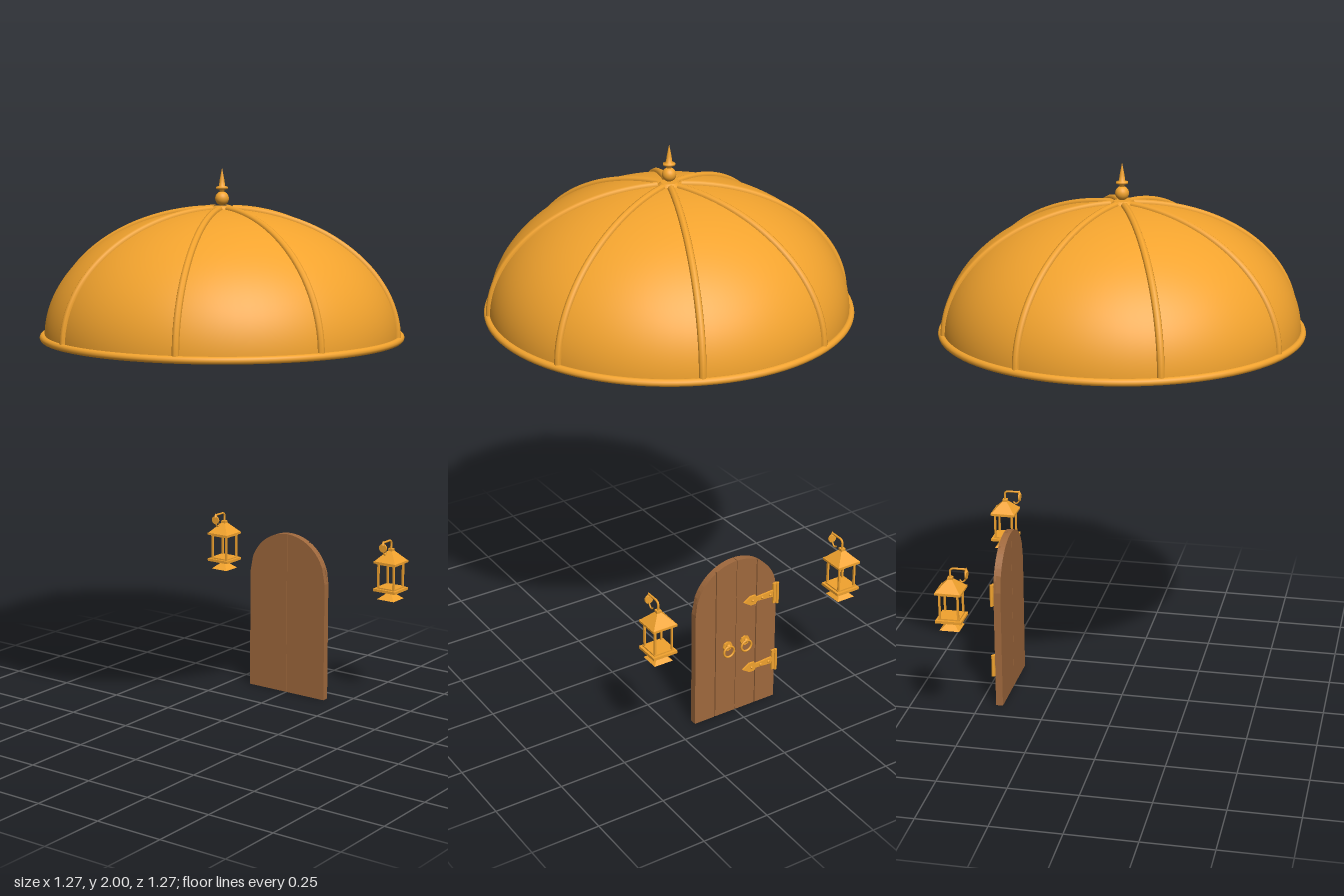
import * as THREE from 'three';

const gold = new THREE.MeshStandardMaterial({ color: 0xf2a32e });
const goldFlat = new THREE.MeshStandardMaterial({ color: 0xf2a32e, flatShading: true });
const wood = new THREE.MeshStandardMaterial({ color: 0xa0693d });

function add(parent, name, geometry, material, x = 0, y = 0, z = 0) {
  const mesh = new THREE.Mesh(geometry, material);
  mesh.name = name;
  mesh.position.set(x, y, z);
  parent.add(mesh);
  return mesh;
}

function group(parent, name) {
  const g = new THREE.Group();
  g.name = name;
  parent.add(g);
  return g;
}

const v2 = (points) => points.map(([x, y]) => new THREE.Vector2(x, y));
const tube = (points, radius, segments = 24) =>
  new THREE.TubeGeometry(new THREE.CatmullRomCurve3(points), segments, radius, 8);

// Ribbed dome with a closed underside, rolled rim and finial
function buildDome(parent) {
  const dome = group(parent, 'dome');
  const R = 0.62, H = 0.44, baseY = 1.42;

  const profile = [];
  for (let i = 0; i <= 40; i++) {
    const t = (i / 40) * Math.PI / 2;
    profile.push(new THREE.Vector2(Math.max(0, R * Math.cos(t)), baseY + H * Math.sin(t)));
  }
  add(dome, 'domeShell', new THREE.LatheGeometry(profile, 80), gold);
  add(dome, 'domeUnderside', new THREE.CircleGeometry(0.628, 80), gold, 0, 1.411, 0).rotation.x = Math.PI / 2;

  const rim = add(dome, 'domeRim', new THREE.TorusGeometry(0.625, 0.0125, 12, 96), gold, 0, baseY - 0.002, 0);
  rim.rotation.x = Math.PI / 2;

  const end = Math.acos(0.04 / R);
  const ribPoints = [];
  for (let i = 0; i <= 16; i++) {
    const t = (i / 16) * end;
    ribPoints.push(new THREE.Vector3(R * Math.cos(t), baseY + H * Math.sin(t), 0));
  }
  const ribGeometry = tube(ribPoints, 0.0125, 40);
  for (let i = 0; i < 8; i++) {
    add(dome, 'rib', ribGeometry, gold).rotation.y = Math.PI / 8 + i * Math.PI / 4;
  }

  // Collar, ball, disc and spike
  add(dome, 'finialCollar', new THREE.CylinderGeometry(0.028, 0.042, 0.014, 24), gold, 0, 1.862, 0);
  add(dome, 'finialBall', new THREE.SphereGeometry(0.024, 24, 16), gold, 0, 1.895, 0);
  add(dome, 'finialSpike', new THREE.LatheGeometry(v2([
    [0.008, 1.91], [0.008, 1.924], [0.021, 1.928], [0.021, 1.934], [0.011, 1.938], [0.008, 1.96], [0, 2.0],
  ]), 20), gold);
}

// Slice of the arched door between two x positions
function plankGeometry(x0, x1, depth) {
  const points = [[x0, 0], [x1, 0]];
  for (let i = 0; i <= 14; i++) {
    const x = x1 + (x0 - x1) * i / 14;
    points.push([x, 0.45 + Math.sqrt(Math.max(0, 0.17 ** 2 - x * x))]);
  }
  return new THREE.ExtrudeGeometry(new THREE.Shape(v2(points)), { depth, bevelEnabled: false });
}

// Strap hinge with a leaf at the door edge and a spear end, facing -z
function buildHinge(parent, y) {
  const hinge = group(parent, 'hinge');
  hinge.position.set(-0.17, y, -0.447);
  const strap = new THREE.Shape(v2([
    [0, -0.014], [0.085, -0.008], [0.092, -0.018], [0.112, -0.018],
    [0.14, 0], [0.112, 0.018], [0.092, 0.018], [0.085, 0.008], [0, 0.014],
  ]));
  add(hinge, 'strap', new THREE.ExtrudeGeometry(strap, { depth: 0.007, bevelEnabled: false }), goldFlat);
  add(hinge, 'hingeLeaf', new THREE.BoxGeometry(0.018, 0.08, 0.009), goldFlat, 0.008, 0, 0.003);
  add(hinge, 'hingePin', new THREE.CylinderGeometry(0.006, 0.006, 0.084, 12), gold, 0, 0, -0.001);
  for (const x of [0.03, 0.065, 0.105]) {
    add(hinge, 'rivet', new THREE.SphereGeometry(0.005, 10, 8), gold, x, 0, -0.001);
  }
}

function buildDoor(parent) {
  const door = group(parent, 'door');
  // Two leaves, with two planks on the back of each
  for (const [a, b] of [[-0.17, -0.001], [0.001, 0.17]]) {
    add(door, 'doorLeaf', plankGeometry(a, b, 0.018), wood, 0, 0, -0.432);
    const mid = (a + b) / 2;
    add(door, 'plank', plankGeometry(a, mid - 0.002, 0.009), wood, 0, 0, -0.44);
    add(door, 'plank', plankGeometry(mid + 0.002, b, 0.009), wood, 0, 0, -0.44);
  }
  for (const y of [0.16, 0.44]) buildHinge(door, y);

  // Ring pulls on round plates
  for (const side of [-1, 1]) {
    const pull = group(door, 'ringPull');
    pull.position.set(side * 0.037, 0.275, -0.443);
    add(pull, 'pullPlate', new THREE.CylinderGeometry(0.019, 0.019, 0.006, 8), goldFlat, 0, 0.008, 0).rotation.x = Math.PI / 2;
    add(pull, 'pullKnob', new THREE.SphereGeometry(0.008, 12, 8), gold, 0, 0.012, -0.008);
    add(pull, 'pullRing', new THREE.TorusGeometry(0.021, 0.004, 8, 24), gold, 0, -0.009, -0.011);
  }
}

// Square frustum standing on y
function frustum(parent, name, top, bottom, height, y) {
  const s = Math.SQRT2;
  const geometry = new THREE.CylinderGeometry(top * s, bottom * s, height, 4);
  add(parent, name, geometry, goldFlat, 0, y + height / 2, 0).rotation.y = Math.PI / 4;
}

function buildLantern(parent, side) {
  const lantern = group(parent, side > 0 ? 'leftLantern' : 'rightLantern');
  lantern.position.set(side * 0.383, 0, -0.535);

  frustum(lantern, 'footFlare', 0.008, 0.036, 0.024, 0.405);
  frustum(lantern, 'footNeck', 0.016, 0.012, 0.012, 0.427);
  frustum(lantern, 'basePlate', 0.047, 0.047, 0.01, 0.437);
  frustum(lantern, 'baseStep', 0.038, 0.038, 0.006, 0.446);
  frustum(lantern, 'roofStep', 0.038, 0.038, 0.006, 0.538);
  frustum(lantern, 'eaves', 0.047, 0.047, 0.008, 0.543);
  frustum(lantern, 'roof', 0.009, 0.045, 0.038, 0.551);
  frustum(lantern, 'roofCap', 0.009, 0.009, 0.01, 0.588);
  for (const x of [-0.033, 0.033]) {
    for (const z of [-0.033, 0.033]) {
      add(lantern, 'post', new THREE.BoxGeometry(0.007, 0.094, 0.007), goldFlat, x, 0.495, z);
    }
  }

  // Hanging arm reaching towards the wall, with plate and small curl
  const p = (y, z) => new THREE.Vector3(0, y, z);
  add(lantern, 'hangingArm', tube([
    p(0.595, 0), p(0.622, 0), p(0.629, 0.008), p(0.63, 0.03), p(0.63, 0.058),
  ], 0.004), gold);
  add(lantern, 'armCurl', tube([
    p(0.61, 0.058), p(0.592, 0.054), p(0.583, 0.045), p(0.585, 0.036), p(0.592, 0.034),
  ], 0.003), gold);
  add(lantern, 'wallPlate', new THREE.CylinderGeometry(0.016, 0.016, 0.006, 16), gold, 0, 0.61, 0.058).rotation.x = Math.PI / 2;
  add(lantern, 'plateTip', new THREE.ConeGeometry(0.007, 0.016, 8), gold, 0, 0.63, 0.058);
}

export function createModel() {
  const model = new THREE.Group();
  model.name = 'domeDoorAndLanterns';
  buildDome(model);
  buildDoor(model);
  for (const side of [-1, 1]) buildLantern(model, side);
  return model;
}
